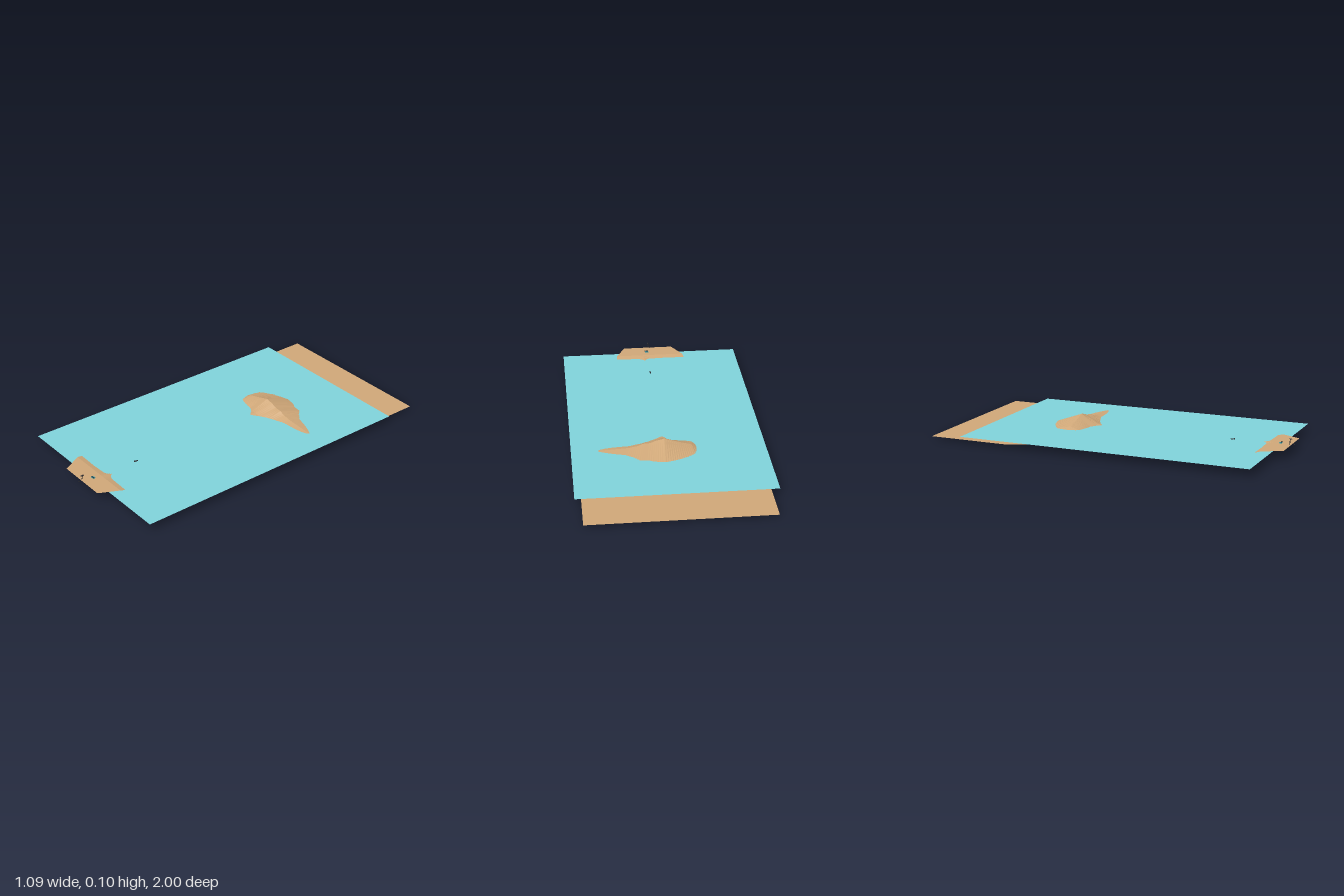
import * as THREE from 'three';

const mat = (name, color, extra = {}) => new THREE.MeshStandardMaterial({ name, color, ...extra });

// Height of a polyline of [x, y] points at x
function heightAt(points, x) {
  for (let i = 1; i < points.length; i++) {
    const [x0, y0] = points[i - 1], [x1, y1] = points[i];
    if (x <= x1) return y0 + (y1 - y0) * Math.max(0, (x - x0) / (x1 - x0));
  }
  return points[points.length - 1][1];
}

// Cross-sections of the land from back to front: depth z and [x, y] points
const SECTIONS = [
  [-1, [[-0.505, 0.015], [0.505, 0.015]]],
  [-0.53, [[-0.505, 0.015], [0.505, 0.015]]],
  [-0.3, [[-0.39, 0.008], [-0.23, 0], [-0.155, 0.043], [-0.13, 0.056], [-0.08, 0.069], [-0.03, 0.084],
    [0.02, 0.1], [0.07, 0.088], [0.1, 0.075], [0.14, 0.073], [0.17, 0.06], [0.22, 0.051], [0.39, 0.042]]],
  [-0.2, [[-0.38, 0.012], [-0.22, 0.01], [-0.15, 0.03], [-0.11, 0.03], [-0.04, 0.03], [0, 0.042],
    [0.03, 0.048], [0.08, 0.039], [0.11, 0.029], [0.2, 0.026], [0.35, 0.036]]],
  [-0.1, [[-0.37, 0.018], [-0.28, 0.034], [-0.15, 0.03], [0, 0.026], [0.15, 0.025], [0.31, 0.038]]],
  [0.03, [[-0.36, 0.024], [-0.29, 0.039], [-0.2, 0.034], [0, 0.026], [0.27, 0.036]]],
  [0.2, [[-0.19, 0.034], [0, 0.024], [0.265, 0.035]]],
  [0.4, [[-0.165, 0.032], [0, 0.023], [0.265, 0.033]]],
  [0.77, [[-0.235, 0.024], [-0.1, 0.022], [0, 0.026], [0.03, 0.036], [0.07, 0.025], [0.21, 0.022]]],
  [0.87, [[-0.21, 0.05], [0.205, 0.05]]],
  [0.98, [[-0.15, 0.05], [0.15, 0.05]]],
];

// Sheet of land joined through all the cross-sections
function landGeometry(columns = 72) {
  const pos = [], index = [], w = columns + 1;
  SECTIONS.forEach(([z, points], r) => {
    const a = points[0][0], b = points[points.length - 1][0];
    for (let i = 0; i <= columns; i++) {
      const x = a + (b - a) * i / columns;
      pos.push(x, heightAt(points, x), z);
      if (r && i) {
        const p = (r - 1) * w + i - 1, q = p + w;
        index.push(p, q, p + 1, p + 1, q, q + 1);
      }
    }
  });
  const g = new THREE.BufferGeometry();
  g.setAttribute('position', new THREE.Float32BufferAttribute(pos, 3));
  g.setIndex(index);
  const flat = g.toNonIndexed();
  flat.computeVertexNormals();
  return flat;
}

export function createModel() {
  const model = new THREE.Group();
  const sand = mat('sand', 0xcfa778, { side: THREE.DoubleSide, flatShading: true });
  const sea = mat('water', 0x7fd2da, { side: THREE.DoubleSide });
  const dark = mat('dark', 0x2a2a2e);
  const teal = mat('teal', 0x2f9fb0);

  const add = (name, geometry, material, x, y, z, parent = model) => {
    const mesh = new THREE.Mesh(geometry, material);
    mesh.name = name;
    mesh.position.set(x, y, z);
    parent.add(mesh);
    return mesh;
  };
  const box = (...s) => new THREE.BoxGeometry(...s);

  // Sea bed, island and beach in one sheet, with the water surface across it
  add('land', landGeometry(), sand, 0, 0, 0);
  add('water', new THREE.PlaneGeometry(1.085, 1.71).rotateX(-Math.PI / 2), sea, -0.002, 0.0415, 0.065);

  // Leaning post with a short crossbar on the beach
  const post = new THREE.Group();
  post.name = 'beachPost';
  post.position.set(-0.012, 0.05, 0.972);
  post.rotation.z = -0.35;
  add('pole', new THREE.CylinderGeometry(0.002, 0.002, 0.034, 6), dark, 0, 0.017, 0, post);
  add('crossbar', box(0.006, 0.003, 0.018), dark, 0, 0.033, 0.003, post);
  model.add(post);
  add('pebble', box(0.005, 0.004, 0.006), dark, 0, 0.052, 0.997);

  // Towel with someone lying on it
  add('towel', box(0.022, 0.003, 0.014), teal, 0.012, 0.0515, 0.915);
  add('sunbather', box(0.016, 0.004, 0.004), dark, 0.012, 0.055, 0.918);
  add('sunbatherHead', new THREE.SphereGeometry(0.003, 8, 6), dark, 0.023, 0.056, 0.918);

  // Swimmer in the bay
  add('swimmerBody', box(0.006, 0.004, 0.016), dark, 0.014, 0.043, 0.632);
  add('swimmerHead', new THREE.SphereGeometry(0.004, 8, 6), dark, 0.014, 0.045, 0.645);

  return model;
}
